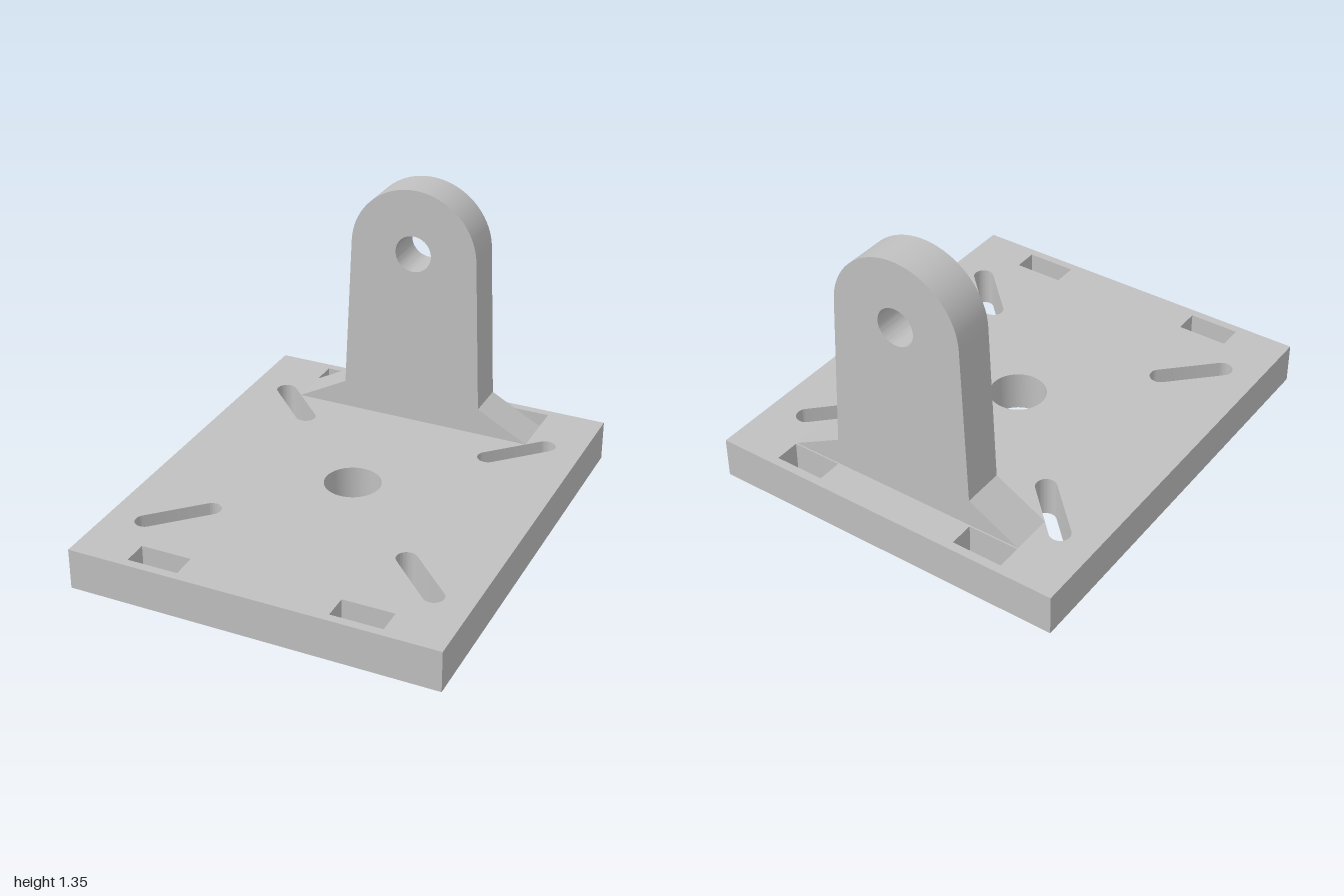
import * as THREE from 'three';
import { toCreasedNormals } from 'three/addons/utils/BufferGeometryUtils.js';

const PLATE_TOP = 0.19;

function polygon(points) {
  return points.map(([x, y]) => new THREE.Vector2(x, y));
}

function circleHole(x, y, radius) {
  return new THREE.Path().absarc(x, y, radius, 0, Math.PI * 2, true);
}

// Rounded slot running diagonally away from the centre in quadrant (sx, sy)
function diagonalSlot(sx, sy) {
  const r = 0.047, near = 0.463, far = 0.669;
  const angle = Math.atan2(sy, sx);
  const path = new THREE.Path();
  path.absarc(sx * far, sy * far, r, angle - Math.PI / 2, angle + Math.PI / 2, false);
  path.absarc(sx * near, sy * near, r, angle + Math.PI / 2, angle + Math.PI * 1.5, false);
  path.closePath();
  return path;
}

function extrude(shape, depth) {
  const geometry = new THREE.ExtrudeGeometry(shape, { depth, bevelEnabled: false, curveSegments: 32 });
  return toCreasedNormals(geometry, Math.PI / 6);
}

function basePlate(material) {
  const w = 0.845;
  const shape = new THREE.Shape(polygon([[-w, -1], [w, -1], [w, 1], [-w, 1]]));
  shape.holes.push(circleHole(0, 0, 0.129));
  for (const sx of [-1, 1]) {
    for (const sy of [-1, 1]) {
      shape.holes.push(diagonalSlot(sx, sy));
      // Rectangular strap window near the end edge
      shape.holes.push(new THREE.Path(polygon([
        [sx * 0.345, sy * 0.845], [sx * 0.58, sy * 0.845],
        [sx * 0.58, sy * 0.96], [sx * 0.345, sy * 0.96],
      ])));
    }
  }
  const mesh = new THREE.Mesh(extrude(shape, PLATE_TOP).rotateX(-Math.PI / 2), material);
  mesh.name = 'basePlate';
  return mesh;
}

function uprightLug(material) {
  const centreY = 1.04, radius = 0.307, tilt = 0.046;
  const shape = new THREE.Shape();
  // Flared foot, tapering sides and round head
  shape.moveTo(-0.58, PLATE_TOP);
  shape.lineTo(0.58, PLATE_TOP);
  shape.lineTo(0.34, 0.32);
  shape.absarc(0, centreY, radius, tilt, Math.PI - tilt, false);
  shape.lineTo(-0.34, 0.32);
  shape.closePath();
  shape.holes.push(circleHole(0, centreY, 0.087));
  const mesh = new THREE.Mesh(extrude(shape, 0.193), material);
  mesh.position.z = -0.839;
  mesh.name = 'uprightLug';
  return mesh;
}

export function createModel() {
  const grey = new THREE.MeshStandardMaterial({ color: 0xc0c0c0 });
  grey.name = 'grey';
  const group = new THREE.Group();
  group.name = 'mountingBracket';
  group.add(basePlate(grey), uprightLug(grey));
  return group;
}
